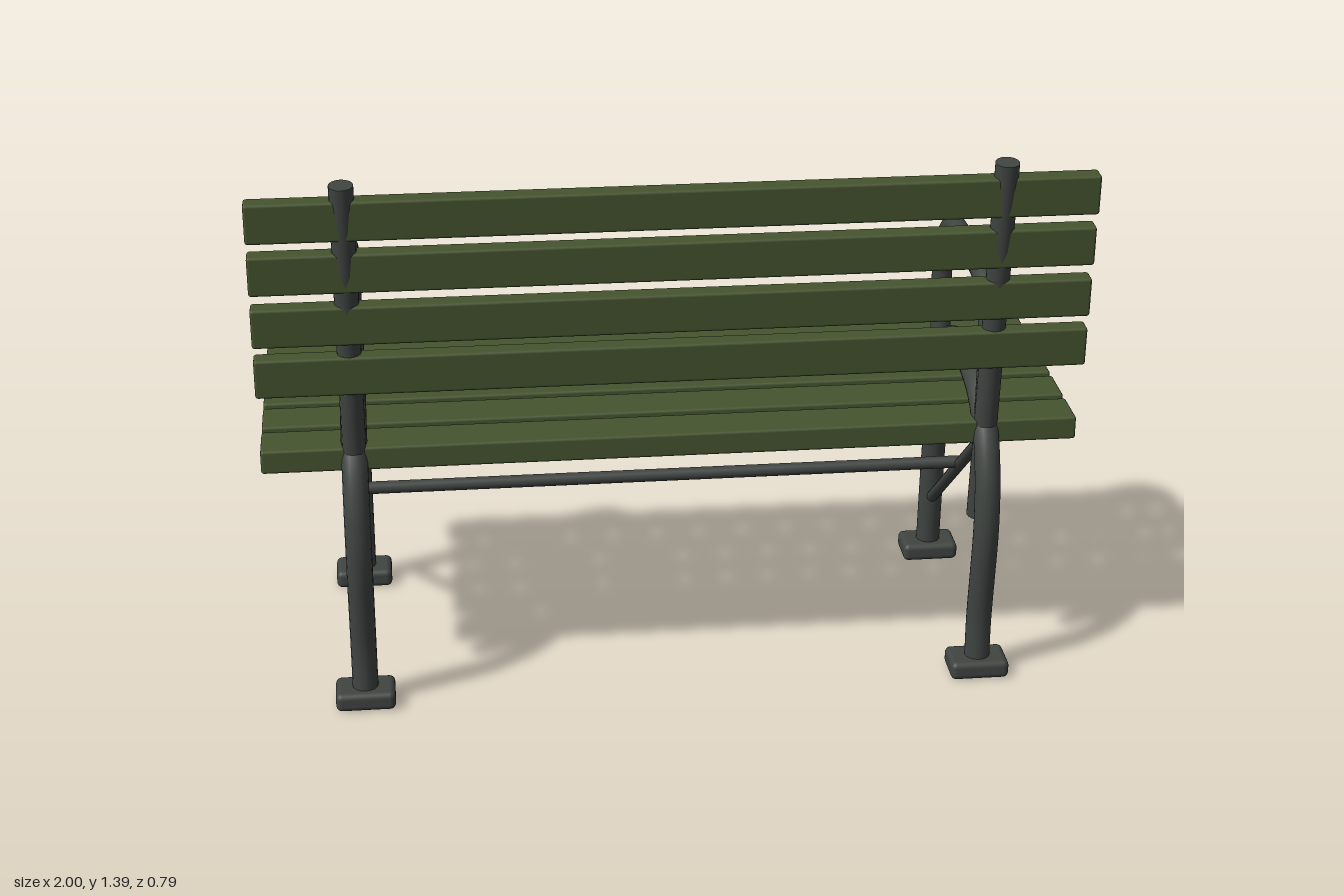
import * as THREE from 'three';
import { RoundedBoxGeometry } from 'three/addons/geometries/RoundedBoxGeometry.js';

const wood = new THREE.MeshStandardMaterial({ color: 0x45542f });
wood.name = 'green slats';
const metal = new THREE.MeshStandardMaterial({ color: 0x404542 });
metal.name = 'dark grey metal';

const SIDE_X = 0.775;

function addMesh(parent, name, geometry, material, x = 0, y = 0, z = 0) {
  const mesh = new THREE.Mesh(geometry, material);
  mesh.name = name;
  mesh.position.set(x, y, z);
  parent.add(mesh);
  return mesh;
}

// Bent tube through [z, y] points in the side plane
function bentTube(points, radius) {
  const path = new THREE.CatmullRomCurve3(points.map(([z, y]) => new THREE.Vector3(0, y, z)), false, 'centripetal');
  return new THREE.TubeGeometry(path, 72, radius, 16, false);
}

// Straight closed rod between two points
function addRod(parent, name, from, to, radius) {
  const a = new THREE.Vector3(...from), b = new THREE.Vector3(...to);
  const dir = b.clone().sub(a);
  const rod = addMesh(parent, name, new THREE.CylinderGeometry(radius, radius, dir.length(), 16), metal);
  rod.position.copy(a).add(b).multiplyScalar(0.5);
  rod.quaternion.setFromUnitVectors(new THREE.Vector3(0, 1, 0), dir.normalize());
  return rod;
}

// Centre line of the leaning back post
const postZ = (y) => 0.247 + (y - 0.412) * 0.1245;

const backSlats = [[1.302, 0.359], [1.168, 0.344], [1.032, 0.332], [0.899, 0.32]];

function sideFrame() {
  const frame = new THREE.Group();

  // Back leg, arch over the seat and front leg in one tube
  addMesh(frame, 'legs', bentTube([
    [0.315, 0.03], [0.315, 0.15], [0.329, 0.27], [0.343, 0.38], [0.345, 0.46], [0.333, 0.55],
    [0.3, 0.635], [0.255, 0.69], [0.19, 0.73], [0.1, 0.751], [0.02, 0.756], [-0.07, 0.749],
    [-0.15, 0.727], [-0.22, 0.69], [-0.27, 0.62], [-0.294, 0.53], [-0.306, 0.42], [-0.324, 0.27],
    [-0.344, 0.03],
  ], 0.032), metal);

  // Armrest hoop
  addMesh(frame, 'armrest', bentTube([
    [0.268, 0.69], [0.272, 0.78], [0.273, 0.87], [0.256, 0.955], [0.212, 1.01], [0.14, 1.031],
    [0.06, 1.027], [0, 1.024], [-0.06, 1.027], [-0.14, 1.033], [-0.215, 1.012], [-0.275, 0.955],
    [-0.304, 0.87], [-0.305, 0.79], [-0.296, 0.71], [-0.287, 0.62],
  ], 0.027), metal);

  addRod(frame, 'backPost', [0, 0.412, postZ(0.412)], [0, 1.387, postZ(1.387)], 0.029);
  addRod(frame, 'diagonalBrace', [0, 0.615, 0.24], [0, 0.19, -0.308], 0.015);

  for (const z of [0.315, -0.344]) {
    addMesh(frame, 'foot', new RoundedBoxGeometry(0.148, 0.048, 0.106, 3, 0.015), metal, 0, 0.024, z);
  }

  // Bolt heads
  for (const [y] of backSlats) {
    addMesh(frame, 'backBolt', new THREE.SphereGeometry(0.013, 12, 8), metal, 0, y, postZ(y) - 0.029);
  }
  for (const z of [0.096, -0.048, -0.188]) {
    addMesh(frame, 'seatBolt', new THREE.SphereGeometry(0.012, 12, 8), metal, 0, 0.688, z);
  }
  return frame;
}

export function createModel() {
  const bench = new THREE.Group();
  bench.name = 'parkBench';

  for (const side of [-1, 1]) {
    const frame = sideFrame();
    frame.name = side > 0 ? 'leftFrame' : 'rightFrame';
    frame.position.x = side * SIDE_X;
    bench.add(frame);
  }

  // Bar joining the two braces
  addRod(bench, 'crossBar', [-SIDE_X, 0.444, 0.008], [SIDE_X, 0.444, 0.008], 0.016);

  // Seat slats
  for (let i = 0; i < 5; i++) {
    addMesh(bench, 'seatSlat', new RoundedBoxGeometry(2, 0.06, 0.118, 2, 0.007), wood, 0, 0.66, 0.236 - i * 0.1415);
  }

  // Backrest slats
  for (const [y, z] of backSlats) {
    const slat = addMesh(bench, 'backSlat', new RoundedBoxGeometry(2, 0.099, 0.047, 2, 0.007), wood, 0, y, z);
    slat.rotation.x = 0.05;
  }
  return bench;
}
